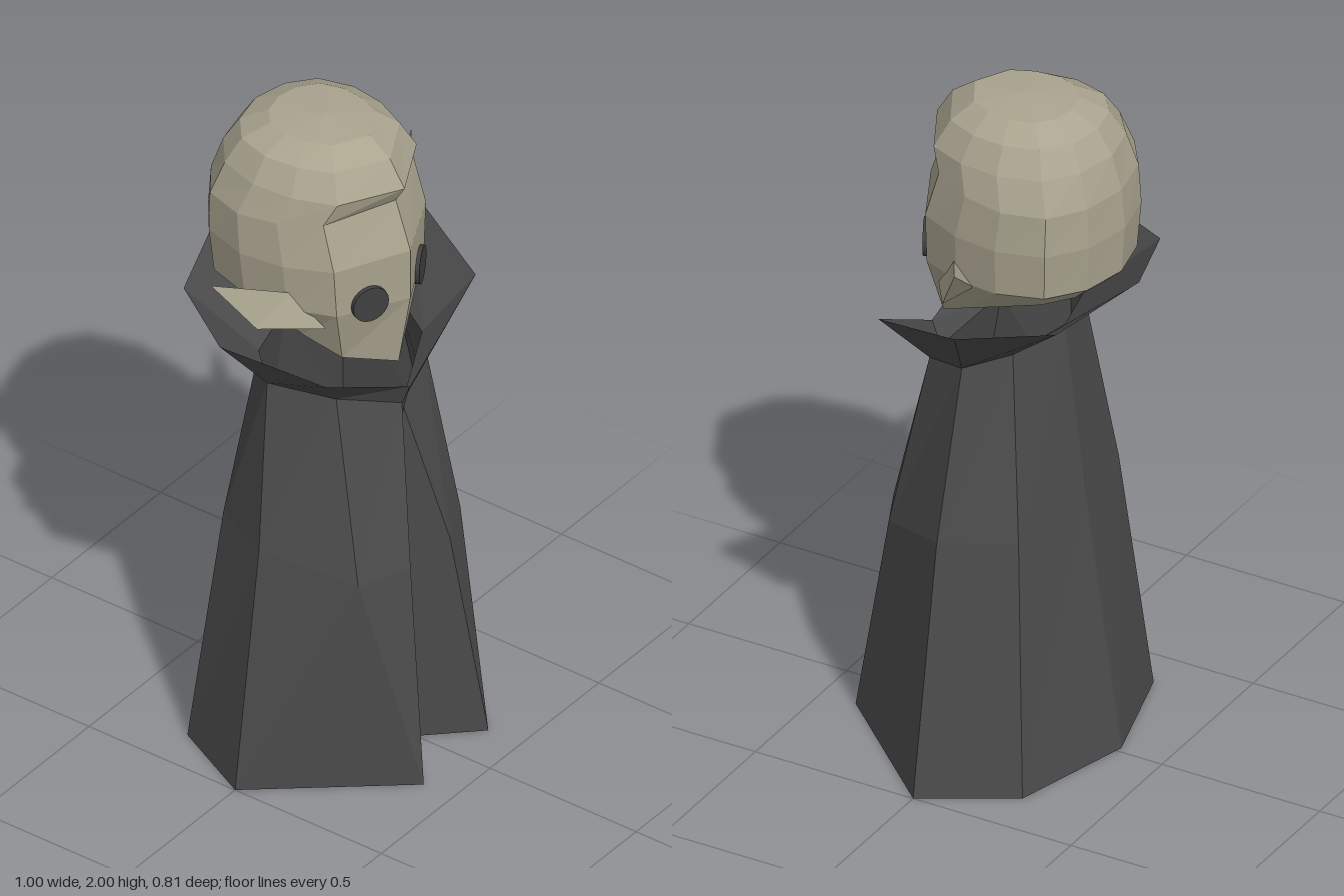
import * as THREE from 'three';

const material = (color) => new THREE.MeshStandardMaterial({ color, flatShading: true, side: THREE.DoubleSide });
const skin = material(0xaaa48f);
const cloth = material(0x4b4b4b);
const dark = material(0x404040);
const CX = -0.03; // the head sits slightly off centre

function facetMesh(name, points, index, mat) {
  const geometry = new THREE.BufferGeometry();
  geometry.setAttribute('position', new THREE.Float32BufferAttribute(points.flat(), 3));
  geometry.setIndex(index);
  const flat = geometry.toNonIndexed();
  flat.computeVertexNormals();
  const mesh = new THREE.Mesh(flat, mat);
  mesh.name = name;
  return mesh;
}

// Joins closed rings of equal length, listed from bottom to top
function loftIndex(rows, n) {
  const index = [];
  for (let r = 0; r < rows - 1; r++) {
    for (let i = 0; i < n; i++) {
      const a = r * n + i, b = r * n + (i + 1) % n;
      index.push(a, b, b + n, a, b + n, a + n);
    }
  }
  return index;
}

// Cloak rings run from the front slit round the +x side, back and -x side
function createCloak() {
  const hem = [
    [-0.015, 0, 0.23], [0.14, 0, 0.39], [0.14, 0, 0.39], [0.5, 0, 0], [0.35, 0, -0.26],
    [-0.02, 0, -0.36], [-0.37, 0, -0.26], [-0.5, 0, 0], [-0.17, 0, 0.4], [-0.17, 0, 0.4]];
  const waist = [
    [-0.015, 0.66, 0.21], [0.07, 0.66, 0.31], [0.2, 0.66, 0.25], [0.37, 0.75, 0], [0.25, 0.74, -0.19],
    [-0.03, 0.74, -0.245], [-0.3, 0.74, -0.19], [-0.39, 0.75, 0], [-0.27, 0.66, 0.25], [-0.11, 0.66, 0.31]];
  const neck = [
    [-0.015, 1.06, 0.205], [-0.015, 1.12, 0.21], [0.185, 1.21, 0.13], [0.25, 1.25, -0.01], [0.16, 1.28, -0.12],
    [-0.04, 1.29, -0.17], [-0.23, 1.28, -0.12], [-0.34, 1.28, -0.01], [-0.21, 1.21, 0.13], [-0.015, 1.12, 0.21]];
  const collar = [
    [-0.02, 1.19, 0.24], [-0.02, 1.19, 0.24], [0.31, 1.37, 0.22], [0.43, 1.46, -0.09], [0.27, 1.46, -0.32],
    [-0.03, 1.5, -0.41], [-0.32, 1.46, -0.31], [-0.45, 1.43, -0.09], [-0.35, 1.36, 0.2], [-0.02, 1.19, 0.24]];
  const rings = [hem, waist, neck, collar];
  const index = loftIndex(rings.length, 10);
  for (let i = 1; i < 9; i++) index.push(0, i + 1, i); // underside
  return facetMesh('cloak', rings.flat(), index, cloth);
}

// Head outline as [share of half width, share from back to front]
function createHead() {
  const half = [[0, 1], [0.73, 0.83], [0.94, 0.62], [1, 0.4], [0.86, 0.18], [0.5, 0.05], [0, 0]];
  const outline = [...half, ...half.slice(1, -1).reverse().map(([x, t]) => [-x, t])];
  // front height, back height, half width, front z, back z
  const levels = [
    [1.27, 1.46, 0.2, 0.21, -0.29],
    [1.5, 1.52, 0.275, 0.25, -0.355],
    [1.66, 1.66, 0.29, 0.25, -0.365],
    [1.81, 1.78, 0.283, 0.2, -0.355],
    [1.86, 1.88, 0.25, 0.23, -0.325],
    [1.94, 1.95, 0.205, 0.18, -0.28],
    [1.99, 1.99, 0.135, 0.11, -0.2]];
  const n = outline.length, points = [];
  for (const [yF, yB, w, zF, zB] of levels) {
    for (const [x, t] of outline) {
      points.push([CX + x * w, yB + (yF - yB) * t * t, zB + (zF - zB) * t]);
    }
  }
  const index = loftIndex(levels.length, n);
  const top = points.length, last = top - n;
  points.push([CX, 2, -0.04], [CX, 1.43, -0.05]);
  for (let i = 0; i < n; i++) {
    const j = (i + 1) % n;
    index.push(top, last + i, last + j, top + 1, j, i); // crown and underside
  }
  return facetMesh('head', points, index, skin);
}

// Swept pointed ear, mirrored by side
function createEar(side) {
  const points = [
    [0.46, 1.66, -0.09], [0.255, 1.57, 0.03], [0.2, 1.45, 0.11], [0.37, 1.5, 0], [0.25, 1.5, -0.03],
  ].map(([x, y, z]) => [CX + side * x, y, z]);
  const index = [1, 2, 3, 1, 3, 0, 4, 3, 2, 4, 0, 3, 1, 0, 4];
  if (side < 0) index.reverse();
  return facetMesh(side > 0 ? 'leftEar' : 'rightEar', points, index, skin);
}

// Flat round eye lying on the slanted face
function createEye(side) {
  const geometry = new THREE.CylinderGeometry(0.055, 0.055, 0.016, 20).rotateX(Math.PI / 2);
  const eye = new THREE.Mesh(geometry, dark);
  eye.position.set(CX + side * 0.115, 1.525, 0.197);
  eye.rotation.y = side * 0.46;
  eye.name = side > 0 ? 'leftEye' : 'rightEye';
  return eye;
}

export function createModel() {
  const model = new THREE.Group();
  model.name = 'cloakedFigure';
  model.add(createCloak(), createHead());
  for (const side of [1, -1]) model.add(createEar(side), createEye(side));
  return model;
}
